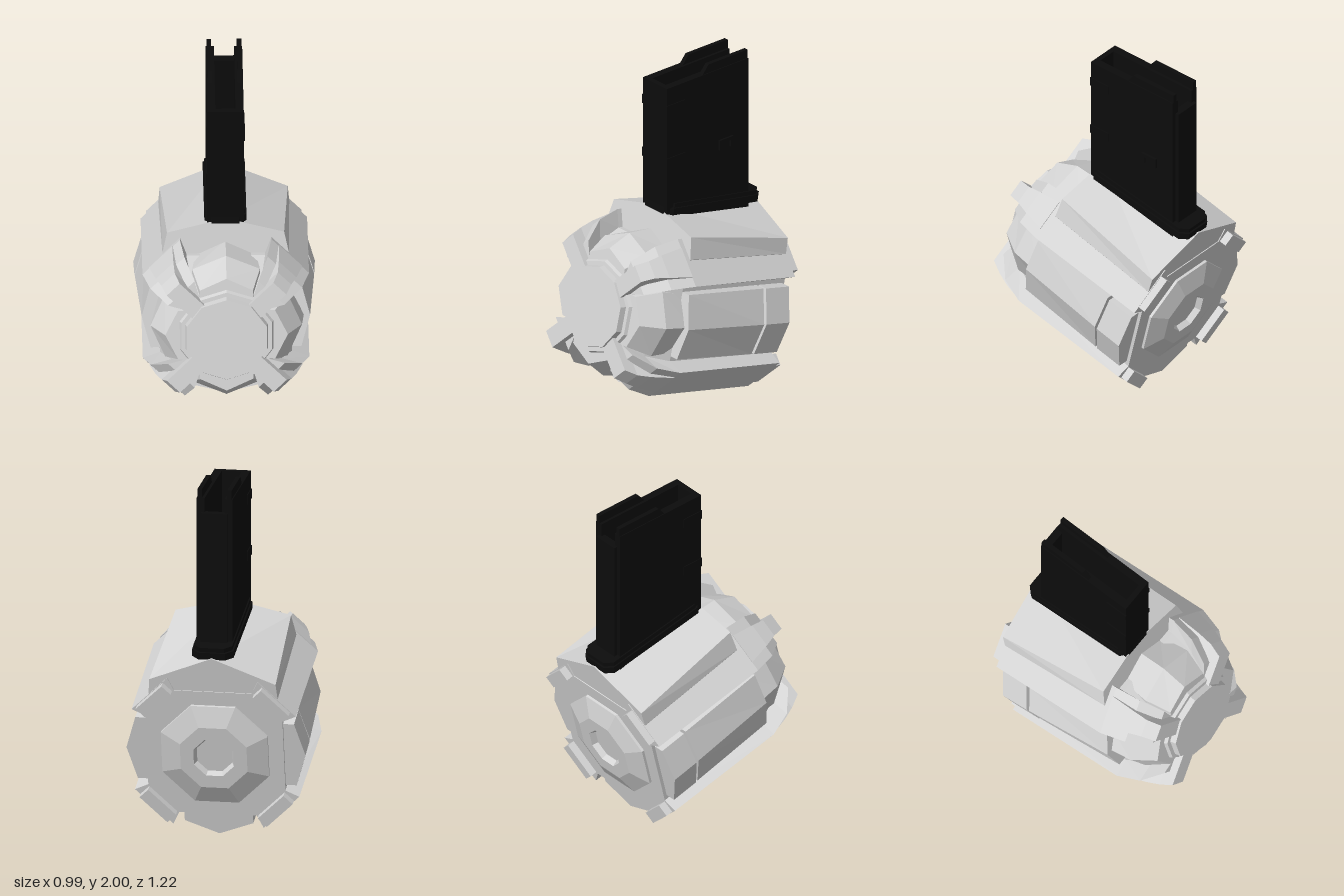
import * as THREE from 'three';

const grey = new THREE.MeshStandardMaterial({ color: 0xd4d4d4 });
const black = new THREE.MeshStandardMaterial({ color: 0x0c0c0c });
grey.name = 'light grey';
black.name = 'black';

function add(parent, name, geometry, material) {
  const flat = geometry.index ? geometry.toNonIndexed() : geometry;
  flat.computeVertexNormals();
  const mesh = new THREE.Mesh(flat, material);
  mesh.name = name;
  parent.add(mesh);
  return mesh;
}

function box(parent, name, material, x0, x1, y0, y1, z0, z1) {
  const g = new THREE.BoxGeometry(x1 - x0, y1 - y0, z1 - z0);
  g.translate((x0 + x1) / 2, (y0 + y1) / 2, (z0 + z1) / 2);
  return add(parent, name, g, material);
}

// Closed solid through counter-clockwise cross-sections at rising z
function loft(sections) {
  const n = sections[0].pts.length;
  const pos = [], idx = [];
  for (const s of sections) for (const [x, y] of s.pts) pos.push(x, y, s.z);
  for (let k = 0; k < sections.length - 1; k++) {
    for (let i = 0; i < n; i++) {
      const j = (i + 1) % n, a = k * n, b = a + n;
      idx.push(a + i, a + j, b + j, a + i, b + j, b + i);
    }
  }
  const cap = (s) => THREE.ShapeUtils.triangulateShape(s.pts.map(([x, y]) => new THREE.Vector2(x, y)), []);
  const last = (sections.length - 1) * n;
  for (const [a, b, c] of cap(sections[0])) idx.push(a, c, b);
  for (const [a, b, c] of cap(sections[sections.length - 1])) idx.push(last + a, last + b, last + c);
  const g = new THREE.BufferGeometry();
  g.setAttribute('position', new THREE.Float32BufferAttribute(pos, 3));
  g.setIndex(idx);
  return g;
}

const shapeOf = (pts) => new THREE.Shape(pts.map(([x, y]) => new THREE.Vector2(x, y)));

// Extrude a (z, y) side profile between two x positions
function sideProfile(pts, x0, x1) {
  const g = new THREE.ExtrudeGeometry(shapeOf(pts.map(([z, y]) => [-z, y])), { depth: x1 - x0, bevelEnabled: false });
  g.rotateY(Math.PI / 2);
  g.translate(x0, 0, 0);
  return g;
}

function buildDrum() {
  const drum = new THREE.Group();
  drum.name = 'drum';
  drum.position.y = 0.611;
  drum.rotation.x = -0.232;

  // Core with four diagonal ridges and four troughs
  const bodySection = (s, trough, z) => {
    const pts = [];
    for (let k = 0; k < 4; k++) {
      const c = Math.round(Math.cos(k * Math.PI / 2)), n = Math.round(Math.sin(k * Math.PI / 2));
      for (const [r, t] of [[0.455 * s, -0.25 * s], [trough, -0.215 * s], [trough, 0.215 * s], [0.455 * s, 0.25 * s]]) {
        pts.push([r * c - t * n, r * n + t * c]);
      }
    }
    return { pts, z };
  };
  add(drum, 'drumBody', loft([
    bodySection(1, 0.38, -0.49), bodySection(1, 0.36, 0.25),
    bodySection(0.91, 0.3, 0.39), bodySection(0.7, 0.235, 0.5)]), grey);

  // Peaked side and bottom panels, split by a narrow groove, and front cowls
  const panel = (c, e, hw, z) => ({ z, pts: [[0.2, -hw], [e, -hw], [c, 0], [e, hw], [0.2, hw]] });
  for (let k = 0; k < 4; k++) {
    const g = new THREE.Group();
    g.name = 'troughPanels';
    g.rotation.z = k * Math.PI / 2;
    if (k !== 1) {
      const c = k === 3 ? 0.513 : 0.496;
      add(g, 'rearPanel', loft([panel(c, 0.44, 0.19, -0.47), panel(c - 0.004, 0.437, 0.19, -0.303)]), grey);
      add(g, 'sidePanel', loft([panel(0.49, 0.433, 0.19, -0.287), panel(0.46, 0.412, 0.187, 0.25)]), grey);
    }
    add(g, 'frontCowl', loft([
      panel(0.43, 0.35, 0.165, 0.2), panel(0.414, 0.335, 0.185, 0.375), panel(0.335, 0.265, 0.145, 0.505)]), grey);
    drum.add(g);
  }

  // Flared front arms and rear tangential lugs
  const armSection = (h, r, z) => ({ z, pts: [[-h, 0.1], [h, 0.1], [h, r], [-h, r]] });
  for (let k = 0; k < 4; k++) {
    const g = new THREE.Group();
    g.name = 'ridgeFittings';
    g.rotation.z = Math.PI / 4 + k * Math.PI / 2;
    add(g, 'frontArm', loft([
      armSection(0.09, 0.503, 0.25), armSection(0.068, 0.475, 0.39),
      armSection(0.052, 0.45, 0.47), armSection(0.05, 0.412, 0.545)]), grey);
    box(g, 'rearLug', grey, -0.105, 0.105, 0.425, 0.495, -0.532, -0.45);
    drum.add(g);
  }

  // Front cap
  const collar = new THREE.CylinderGeometry(0.26, 0.28, 0.04, 10).rotateX(Math.PI / 2);
  collar.translate(0, 0, 0.503);
  add(drum, 'capCollar', collar, grey);
  const capDisc = new THREE.CylinderGeometry(0.23, 0.24, 0.055, 10).rotateX(Math.PI / 2);
  capDisc.rotateZ(Math.PI);
  capDisc.translate(0, 0, 0.53);
  add(drum, 'frontCap', capDisc, grey);

  // Stepped octagonal rear hub with a recessed centre
  const hubPts = [[0.32, 0.48], [0.32, 0.505], [0.2, 0.548], [0.12, 0.548], [0.105, 0.515], [0, 0.515]];
  const hub = new THREE.LatheGeometry(hubPts.map(([r, y]) => new THREE.Vector2(r, y)), 8, Math.PI / 8);
  hub.rotateX(-Math.PI / 2);
  add(drum, 'rearHub', hub, grey);

  // Neck fairing on top
  const neck = (a, z) => {
    const half = [[0.25, 0.2], a[0], a[1]];
    return { z, pts: [...half, [0, a[2]], ...half.map(([x, y]) => [-x, y]).reverse()] };
  };
  add(drum, 'neck', loft([
    neck([[0.358, 0.35], [0.35, 0.44], 0.585], -0.485),
    neck([[0.345, 0.365], [0.32, 0.486], 0.568], 0.22)]), grey);
  return drum;
}

function buildFeedTower() {
  const tower = new THREE.Group();
  tower.name = 'feedTower';

  // Hollow tower walls
  const wall = [[0.085, 1.0], [0.085, 1.95], [-0.505, 1.95], [-0.505, 1.0]];
  const lip = [[-0.17, 1.94], [-0.22, 2.0], [-0.505, 2.0], [-0.505, 1.94]];
  for (const s of [-1, 1]) {
    const span = (a, b) => (s > 0 ? [a, b] : [-b, -a]);
    add(tower, 'sideWall', sideProfile(wall, ...span(0.055, 0.1)), black);
    add(tower, 'feedLip', sideProfile(lip, ...span(0.07, 0.095)), black);
    // Short grip ribs near the front edge
    for (const y of [1.5, 1.82]) {
      box(tower, 'sideRib', black, ...span(0.099, 0.105), y - 0.027, y + 0.027, -0.045, 0.088);
    }
  }
  box(tower, 'frontWall', black, -0.056, 0.056, 1.0, 1.95, 0.055, 0.085);
  box(tower, 'backWall', black, -0.056, 0.056, 1.0, 1.87, -0.505, -0.48);
  box(tower, 'backSpine', black, -0.075, 0.075, 1.0, 1.87, -0.525, -0.504);

  // Catch bracket on one side
  box(tower, 'catchTop', black, 0.099, 0.112, 1.5, 1.52, -0.39, -0.29);
  for (const z of [-0.39, -0.31]) box(tower, 'catchLeg', black, 0.099, 0.112, 1.46, 1.5, z, z + 0.02);

  // Chamfered flange that follows the slope of the neck
  const flangeRing = (hw, hl, c) => shapeOf([
    [hw, -hl + c], [hw, hl - c], [hw - c, hl], [-hw + c, hl],
    [-hw, hl - c], [-hw, -hl + c], [-hw + c, -hl], [hw - c, -hl]]);
  const flange = new THREE.Group();
  flange.name = 'flange';
  flange.position.set(0, 1.123, -0.252);
  flange.rotation.x = -0.18;
  for (const [hw, hl, y, h] of [[0.115, 0.35, 0, 0.04], [0.107, 0.34, 0.04, 0.025]]) {
    const shape = flangeRing(hw, hl, 0.04);
    shape.holes.push(new THREE.Path([[-0.057, -0.32], [-0.057, 0.228], [0.057, 0.228], [0.057, -0.32]]
      .map(([x, v]) => new THREE.Vector2(x, v))));
    const g = new THREE.ExtrudeGeometry(shape, { depth: h, bevelEnabled: false });
    g.rotateX(-Math.PI / 2);
    g.translate(0, y, 0);
    add(flange, 'flangeStep', g, black);
  }
  tower.add(flange);
  return tower;
}

export function createModel() {
  const model = new THREE.Group();
  model.name = 'drumMagazine';
  model.add(buildDrum(), buildFeedTower());
  return model;
}
